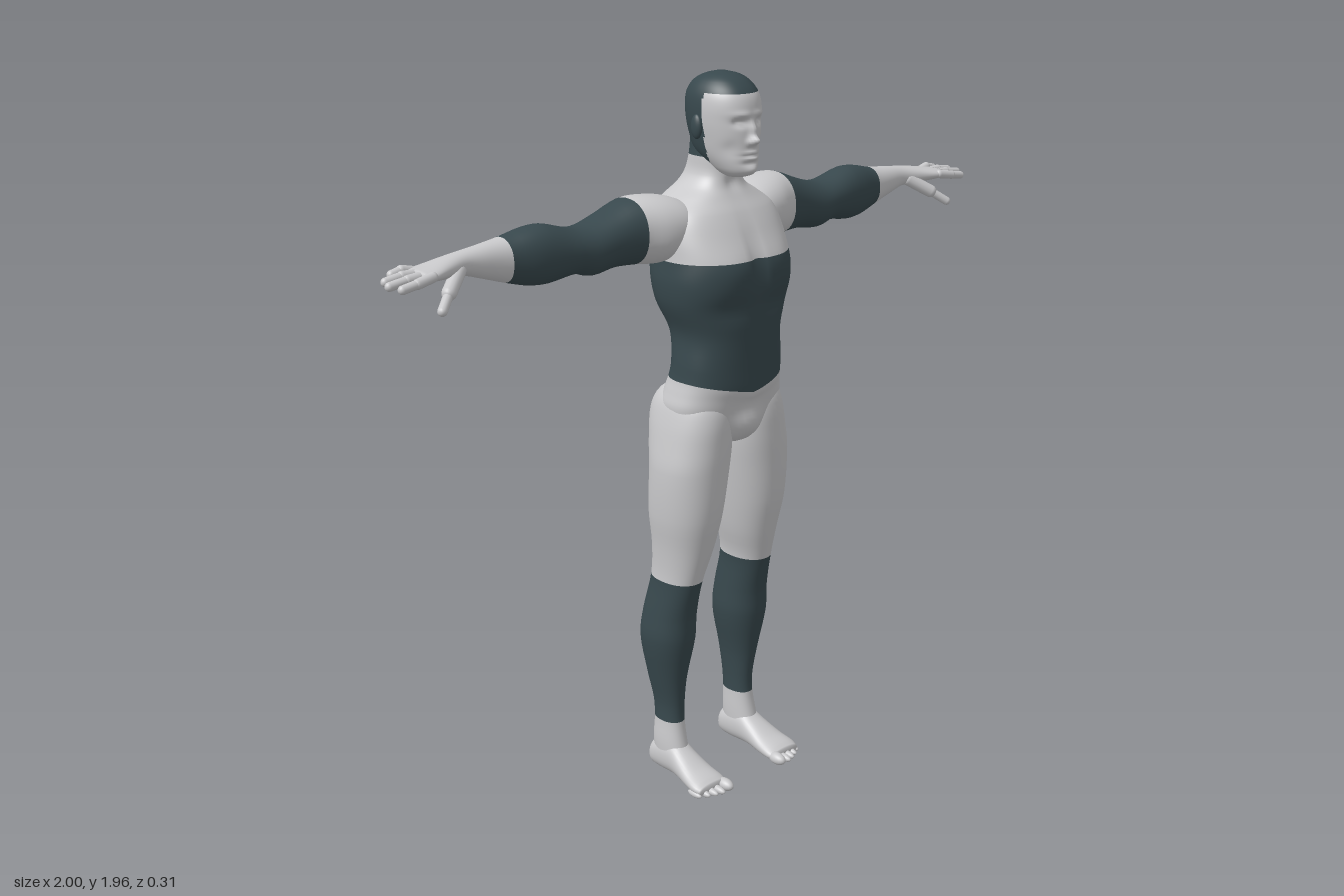
import * as THREE from 'three';

const skin = new THREE.MeshStandardMaterial({ name: 'paleSkin', color: 0xc9c9cb });
const dark = new THREE.MeshStandardMaterial({ name: 'darkSlate', color: 0x38484d });

// Smooth interpolation through rows of [t, a0, a1, b0, b1]
function smoothRows(rows, k) {
  const slope = (i, c) => {
    const p = rows[Math.max(i - 1, 0)], q = rows[Math.min(i + 1, rows.length - 1)];
    return (q[c] - p[c]) / (q[0] - p[0]);
  };
  const out = [];
  for (let i = 0; i < rows.length - 1; i++) {
    const p = rows[i], q = rows[i + 1], h = q[0] - p[0];
    for (let j = 0; j < k; j++) {
      const s = j / k, s2 = s * s, s3 = s2 * s;
      out.push(p.map((v, c) => c === 0 ? v + h * s
        : (2 * s3 - 3 * s2 + 1) * v + (s3 - 2 * s2 + s) * h * slope(i, c)
        + (3 * s2 - 2 * s3) * q[c] + (s3 - s2) * h * slope(i + 1, c)));
    }
  }
  out.push(rows[rows.length - 1]);
  return out;
}

// Closed skin over superellipse sections; place(t, a, b) gives the point,
// isDark(centre, tMid) picks the colour of each face
function loft(name, rows, place, { n = 40, k = 4, p = 2.2, warp, isDark = () => false } = {}) {
  const R = smoothRows(rows, k), pts = [], ts = [];
  const ring = (r, f) => {
    for (let i = 0; i < n; i++) {
      const u = (i / n) * Math.PI * 2, c = Math.cos(u), s = Math.sin(u);
      const a = (r[1] + r[2]) / 2 + f * (r[2] - r[1]) / 2 * Math.sign(c) * Math.abs(c) ** (2 / p);
      const b = (r[3] + r[4]) / 2 + f * (r[4] - r[3]) / 2 * Math.sign(s) * Math.abs(s) ** (2 / p);
      const v = new THREE.Vector3(...place(r[0], a, b));
      if (warp) warp(v);
      pts.push(v);
    }
    ts.push(r[0]);
  };
  ring(R[0], 0.001);
  R.forEach(r => ring(r, 1));
  ring(R[R.length - 1], 0.001);
  const sets = [[], []], mid = new THREE.Vector3();
  let volume = 0;
  for (let j = 0; j < ts.length - 1; j++) for (let i = 0; i < n; i++) {
    const a = j * n + i, b = j * n + (i + 1) % n, c = b + n, d = a + n;
    mid.copy(pts[a]).add(pts[b]).add(pts[c]).add(pts[d]).multiplyScalar(0.25);
    const set = sets[isDark(mid, (ts[j] + ts[j + 1]) / 2) ? 1 : 0];
    for (const f of [[a, b, c], [a, c, d]]) {
      set.push(f);
      volume += pts[f[0]].dot(mid.clone().crossVectors(pts[f[1]], pts[f[2]]));
    }
  }
  const order = f => volume < 0 ? [f[0], f[2], f[1]] : f;
  const geo = new THREE.BufferGeometry().setFromPoints(pts);
  geo.setIndex([...sets[0], ...sets[1]].flatMap(order));
  geo.addGroup(0, sets[0].length * 3, 0);
  geo.addGroup(sets[0].length * 3, sets[1].length * 3, 1);
  geo.computeVertexNormals();
  const mesh = new THREE.Mesh(geo, [skin, dark]);
  mesh.name = name;
  return mesh;
}

// Soft bumps [x, y, side, height, xSpread, ySpread], mirrored across x
const sculpt = bumps => v => {
  const side = Math.sign(v.z), fade = Math.min(1, Math.abs(v.z) / 0.04);
  let push = 0;
  for (const [x, y, s, h, sx, sy] of bumps) {
    if (s === side) push += h * Math.exp(-(((Math.abs(v.x) - x) / sx) ** 2) - ((v.y - y) / sy) ** 2);
  }
  v.z += side * push * fade;
};

// Rounded rod between two points, for fingers
function rod(name, p, q, r) {
  const a = new THREE.Vector3(...p), b = new THREE.Vector3(...q), d = b.clone().sub(a);
  const mesh = new THREE.Mesh(new THREE.CapsuleGeometry(r, d.length(), 6, 12), skin);
  mesh.quaternion.setFromUnitVectors(new THREE.Vector3(0, 1, 0), d.normalize());
  mesh.position.copy(a.add(b).multiplyScalar(0.5));
  mesh.name = name;
  return mesh;
}

function ball(name, mat, pos, scale) {
  const mesh = new THREE.Mesh(new THREE.SphereGeometry(1, 20, 14), mat);
  mesh.position.set(...pos);
  mesh.scale.set(...scale);
  mesh.name = name;
  return mesh;
}

function makeTorso() {
  const rows = [ // y, half width, front z, back z
    [0.985, 0.02, 0.04, -0.03], [1.0, 0.07, 0.08, -0.06], [1.05, 0.16, 0.1, -0.1],
    [1.1, 0.176, 0.112, -0.115], [1.14, 0.168, 0.12, -0.108], [1.175, 0.16, 0.128, -0.097],
    [1.22, 0.157, 0.13, -0.087], [1.3, 0.153, 0.134, -0.1], [1.38, 0.182, 0.143, -0.134],
    [1.44, 0.191, 0.147, -0.146], [1.497, 0.187, 0.141, -0.152], [1.56, 0.185, 0.113, -0.155],
    [1.61, 0.17, 0.085, -0.15], [1.645, 0.125, 0.06, -0.135], [1.67, 0.085, 0.047, -0.12],
    [1.7, 0.062, 0.042, -0.105], [1.745, 0.057, 0.04, -0.09], [1.8, 0.055, 0.03, -0.082],
  ].map(([y, w, f, b]) => [y, -w, w, b, f]);
  const muscles = sculpt([
    [0.085, 1.47, 1, 0.008, 0.06, 0.05], [0, 1.49, 1, -0.012, 0.016, 0.08],
    [0.08, 1.37, 1, -0.008, 0.08, 0.03], [0, 1.27, 1, -0.004, 0.012, 0.12],
    [0, 1.36, -1, -0.018, 0.028, 0.16], [0.09, 1.56, -1, 0.006, 0.05, 0.06],
    [0, 1.045, 1, 0.022, 0.045, 0.04], [0, 1.68, 1, -0.008, 0.02, 0.02],
  ]);
  const warp = v => {
    muscles(v);
    // front waistline dips to a shallow point
    if (v.z > 0) v.y -= 0.035 * Math.max(0, 1 - Math.abs(v.x) / 0.16) * Math.exp(-(((v.y - 1.175) / 0.05) ** 2));
  };
  return loft('torso', rows, (t, a, b) => [a, t, b], {
    n: 72, k: 5, p: 2.45, warp,
    isDark: (c, t) => (t > 1.175 && t < 1.497) || (t > 1.745 && c.z < 0.015),
  });
}

function makeHead() {
  const rows = [ // y, half width, front z, back z
    [1.7, 0.025, 0.085, 0.03], [1.708, 0.037, 0.105, 0.01], [1.725, 0.05, 0.114, -0.02],
    [1.76, 0.066, 0.114, -0.07], [1.8, 0.075, 0.115, -0.086], [1.84, 0.081, 0.114, -0.094],
    [1.88, 0.082, 0.113, -0.096], [1.91, 0.076, 0.103, -0.09], [1.935, 0.06, 0.08, -0.07],
    [1.95, 0.038, 0.052, -0.04], [1.957, 0.012, 0.02, -0.01],
  ].map(([y, w, f, b]) => [y, -w, w, b, f]);
  const face = sculpt([
    [0, 1.796, 1, 0.024, 0.011, 0.011], [0, 1.822, 1, 0.014, 0.009, 0.02],
    [0.012, 1.79, 1, 0.008, 0.007, 0.007], [0.032, 1.84, 1, -0.014, 0.016, 0.01],
    [0.031, 1.838, 1, 0.006, 0.008, 0.005], [0.028, 1.86, 1, 0.005, 0.025, 0.008],
    [0, 1.764, 1, 0.008, 0.02, 0.005], [0, 1.75, 1, 0.008, 0.018, 0.005],
    [0, 1.757, 1, -0.005, 0.025, 0.003], [0, 1.737, 1, -0.006, 0.025, 0.006],
    [0, 1.718, 1, 0.007, 0.02, 0.012], [0.052, 1.775, 1, -0.006, 0.015, 0.02],
  ]);
  return loft('head', rows, (t, a, b) => [a, t, b], {
    n: 112, k: 9, p: 2.2, warp: face,
    isDark: (c, t) => t > 1.91 || (c.z < 0.018 && t > 1.725),
  });
}

// One arm, leg and foot; s is +1 for the left side and -1 for the right
function makeSide(s, label) {
  const g = new THREE.Group();
  g.name = label + 'Limbs';

  const arm = [ // x, bottom y, top y, back z, front z
    [0.07, 1.53, 1.62, -0.11, 0.03], [0.14, 1.5, 1.651, -0.145, 0.045], [0.2, 1.488, 1.662, -0.154, 0.04],
    [0.26, 1.492, 1.66, -0.154, 0.018], [0.33, 1.495, 1.635, -0.148, 0.008], [0.4, 1.487, 1.615, -0.142, 0.006],
    [0.45, 1.5, 1.615, -0.134, 0.002], [0.53, 1.49, 1.636, -0.13, -0.004], [0.58, 1.493, 1.634, -0.13, -0.01],
    [0.645, 1.51, 1.62, -0.125, -0.025], [0.72, 1.535, 1.612, -0.106, -0.034], [0.77, 1.55, 1.607, -0.1, -0.036],
    [0.82, 1.553, 1.601, -0.102, -0.022], [0.87, 1.558, 1.593, -0.104, -0.004], [0.905, 1.562, 1.588, -0.1, 0.002],
  ];
  g.add(loft('arm', arm, (t, a, b) => [s * t, a, b], { n: 40, isDark: (c, t) => t > 0.26 && t < 0.645 }));

  [[-0.09, 0.945, 1.578], [-0.062, 0.98, 1.572], [-0.034, 0.988, 1.568], [-0.006, 0.972, 1.563]].forEach(([z, tip, y]) => {
    const bend = [s * (tip + 0.89) / 2, y + 0.006, z + 0.002];
    g.add(rod('finger', [s * 0.885, 1.576, z * 0.9 - 0.005], bend, 0.0125));
    g.add(rod('fingertip', bend, [s * tip, y, z + 0.003], 0.011));
  });
  g.add(rod('thumbBase', [s * 0.79, 1.568, -0.045], [s * 0.845, 1.532, -0.008], 0.018));
  g.add(rod('thumb', [s * 0.845, 1.532, -0.008], [s * 0.885, 1.502, 0.02], 0.012));

  const leg = [ // y, centre x, half width, front z, back z
    [1.16, 0.08, 0.04, 0.04, -0.06], [1.13, 0.086, 0.075, 0.085, -0.112], [1.08, 0.092, 0.09, 0.104, -0.136],
    [1.0, 0.1, 0.099, 0.105, -0.128], [0.93, 0.109, 0.1, 0.102, -0.115], [0.8, 0.117, 0.088, 0.092, -0.12],
    [0.7, 0.12, 0.071, 0.07, -0.115], [0.605, 0.13, 0.056, 0.045, -0.117], [0.5, 0.135, 0.063, 0.02, -0.14],
    [0.42, 0.137, 0.067, 0.013, -0.15], [0.3, 0.137, 0.045, -0.01, -0.135], [0.22, 0.133, 0.034, -0.02, -0.121],
    [0.165, 0.133, 0.033, -0.02, -0.117], [0.1, 0.135, 0.036, -0.008, -0.12], [0.04, 0.135, 0.034, 0.01, -0.118],
  ].map(([y, x, w, f, b]) => [y, x - w, x + w, b, f]).reverse();
  g.add(loft('leg', leg, (t, a, b) => [s * a, t, b], { n: 48, isDark: (c, t) => t > 0.165 && t < 0.605 }));

  const foot = [ // z, inner x, outer x, sole y, top y
    [-0.132, 0.12, 0.15, 0.015, 0.05], [-0.12, 0.104, 0.166, 0.004, 0.078], [-0.08, 0.097, 0.172, 0, 0.1],
    [-0.03, 0.096, 0.175, 0.002, 0.103], [0.01, 0.094, 0.182, 0.003, 0.082], [0.06, 0.089, 0.192, 0, 0.056],
    [0.1, 0.087, 0.197, 0, 0.042], [0.12, 0.092, 0.19, 0.004, 0.032],
  ];
  g.add(loft('foot', foot, (t, a, b) => [s * a, b, t], { n: 32 }));
  for (let i = 0; i < 5; i++) {
    const w = i ? 0.0115 - i * 0.0006 : 0.017;
    g.add(ball('toe', skin, [s * (i ? 0.109 + i * 0.0205 : 0.103), w, 0.126 - i * i * 0.0018], [w, w, 0.03 - i * 0.001]));
  }

  g.add(ball('ear', dark, [s * 0.083, 1.825, 0.0], [0.011, 0.031, 0.018]));
  return g;
}

export function createModel() {
  const model = new THREE.Group();
  model.name = 'standingFigure';
  model.add(makeTorso(), makeHead(), makeSide(1, 'left'), makeSide(-1, 'right'));
  return model;
}
